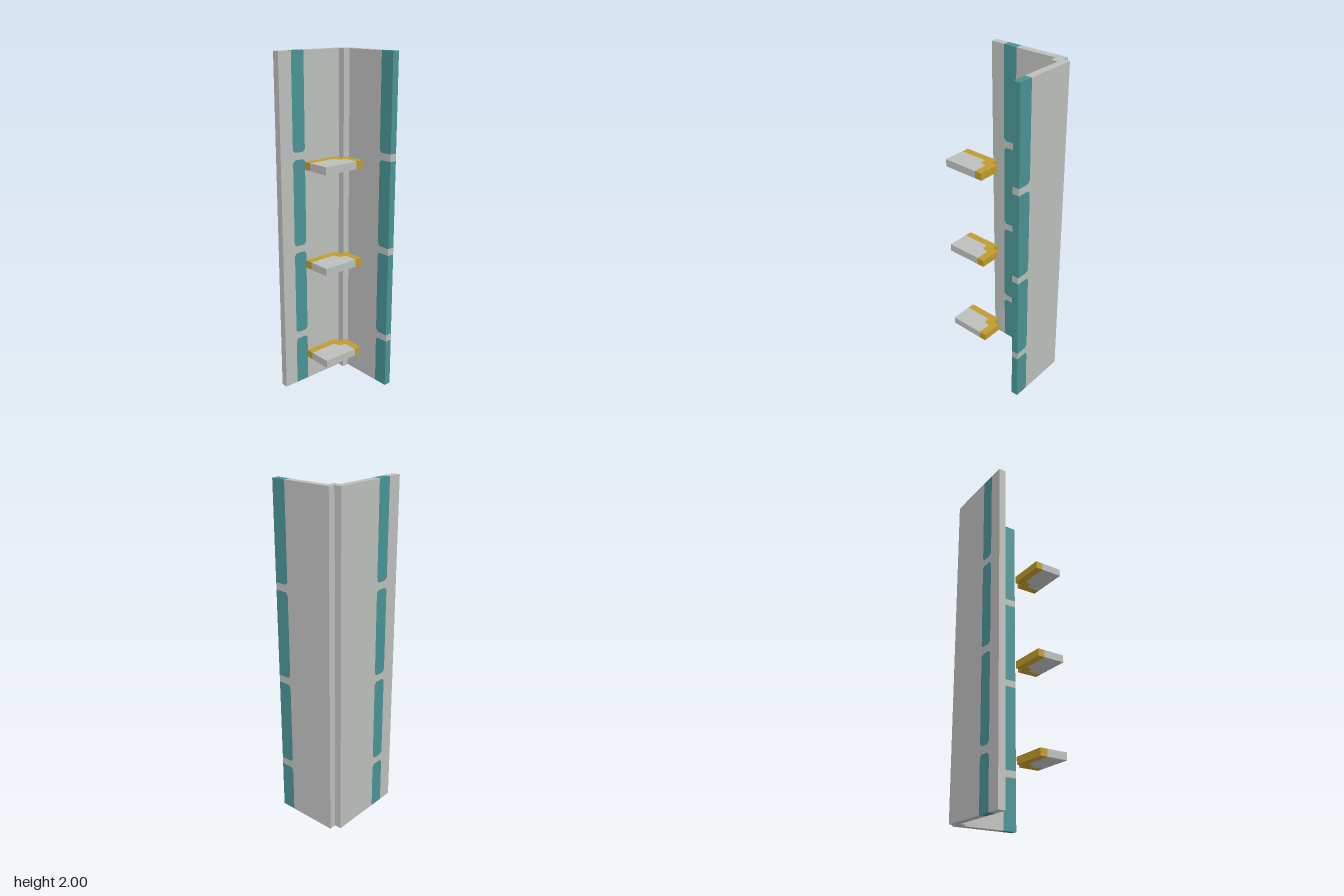
import * as THREE from 'three';

// Everything is laid out on a grid of 47 units in height, then scaled to 2.
const U = 2 / 47, H = 47, C = 0.35;
const gaps = [7, 20, 33]; // bottom of each one-unit shelf level

const mat = (name, color) => {
  const m = new THREE.MeshStandardMaterial({ color });
  m.name = name;
  return m;
};

// Solid boxes (x0, x1, z0, z1), used to drop faces buried between two colours
const wallSolids = [[-5, -4, -5, 6], [-4, 5, -6, -5], [-4, -3, -5, -4]];
const shelfSolids = [[2, 5, 0, 6], [1, 2, 1, 6]];

function dropBuried(geo, solids, height) {
  const g = geo.index ? geo.toNonIndexed() : geo;
  const p = g.attributes.position, out = [];
  const [a, b, c, mid, n] = Array.from({ length: 5 }, () => new THREE.Vector3());
  const tri = new THREE.Triangle(a, b, c);
  for (let i = 0; i < p.count; i += 3) {
    a.fromBufferAttribute(p, i);
    b.fromBufferAttribute(p, i + 1);
    c.fromBufferAttribute(p, i + 2);
    tri.getNormal(n);
    tri.getMidpoint(mid).addScaledVector(n, 0.02);
    const buried = mid.y > 0 && mid.y < height && solids.some(
      ([x0, x1, z0, z1]) => mid.x > x0 && mid.x < x1 && mid.z > z0 && mid.z < z1);
    if (!buried) for (const v of [a, b, c]) out.push(v.x, v.y, v.z);
  }
  const r = new THREE.BufferGeometry();
  r.setAttribute('position', new THREE.Float32BufferAttribute(out, 3));
  r.computeVertexNormals();
  return r.scale(U, U, U);
}

const extrude = (pts, depth) => new THREE.ExtrudeGeometry(
  new THREE.Shape(pts.map(([x, y]) => new THREE.Vector2(x, y))),
  { depth, bevelEnabled: false });

// Floor-plan outline (x, z) raised along y
const plan = (pts, height) =>
  extrude(pts.map(([x, z]) => [x, -z]), height).rotateX(-Math.PI / 2);

// Upright pieces within the back wall and the side wall
const inBack = pts => extrude(pts, 1).translate(0, 0, -6);
const inSide = pts => extrude(pts, 1).rotateY(-Math.PI / 2).translate(-4, 0, 0);

export function createModel() {
  const root = new THREE.Group();
  root.name = 'cornerShelf';
  const grey = mat('grey', 0xbcbebc);
  const teal = mat('teal', 0x4a9294);
  const ochre = mat('ochre', 0xc09b2c);

  const add = (parent, name, geo, material, solids, height) => {
    const mesh = new THREE.Mesh(dropBuried(geo, solids, height), material);
    mesh.name = name;
    parent.add(mesh);
  };

  // Walls
  const walls = new THREE.Group();
  walls.name = 'walls';
  root.add(walls);
  const wall = (name, geo, m) => add(walls, name, geo, m, wallSolids, H);
  wall('cornerWalls', plan([[-5, -5], [-4, -5], [-4, -6], [3, -6], [3, -5],
    [-3, -5], [-3, -4], [-4, -4], [-4, 2], [-5, 2]], H), grey);
  wall('sideWallFront', plan([[-5, 4], [-4, 4], [-4, 6], [-5, 6]], H), grey);

  // Teal stripes, interrupted by a grey band at each shelf level;
  // l and r are the corner cuts on the two long edges
  const stripe = (name, place, u0, u1, l, r) => {
    const edges = [0, ...gaps.flatMap(y => [y, y + 1]), H];
    for (let i = 0; i < edges.length - 1; i++) {
      const y0 = edges[i], y1 = edges[i + 1];
      const isBand = i % 2 === 1;
      const lo = i === 0 ? 0 : 1, hi = y1 === H ? 0 : 1;
      const s = isBand ? -1 : 1; // bands flare, stripes are cut
      const pts = [];
      const corner = (u, y, dir, cut, up, on) => {
        const flat = [u + dir * cut, y], side = [u, y + up * s * cut];
        if (!on || !cut) return [[u, y]];
        return [flat, side];
      };
      pts.push(...corner(u0, y0, 1, l, 1, lo).reverse());
      pts.push(...corner(u1, y0, -1, r, 1, lo));
      pts.push(...corner(u1, y1, -1, r, -1, hi).reverse());
      pts.push(...corner(u0, y1, 1, l, -1, hi));
      wall(name + (isBand ? 'Band' : 'Stripe'), place(pts), isBand ? grey : teal);
    }
  };
  stripe('backWall', inBack, 3, 5, C, 0);
  stripe('sideWall', inSide, 2, 4, C, C);

  // Shelves: grey board with an ochre rim along the two inner edges
  const seam = [[5, 1], [3.13, 1], [3.13, 1.13], [2.97, 1.13], [2.97, 1.82],
    [2.8, 1.82], [2.8, 2], [2.17, 2], [2.17, 2.17], [2, 2.17], [2, 6]];
  for (const y of gaps) {
    const shelf = new THREE.Group();
    shelf.name = 'shelf';
    shelf.position.y = y * U;
    add(shelf, 'shelfBoard', plan([...seam, [5, 6]], 1), grey, shelfSolids, 1);
    add(shelf, 'shelfRim', plan([...seam, [1, 6], [1, 1], [2, 1], [2, 0], [5, 0]], 1),
      ochre, shelfSolids, 1);
    root.add(shelf);
  }
  return root;
}
